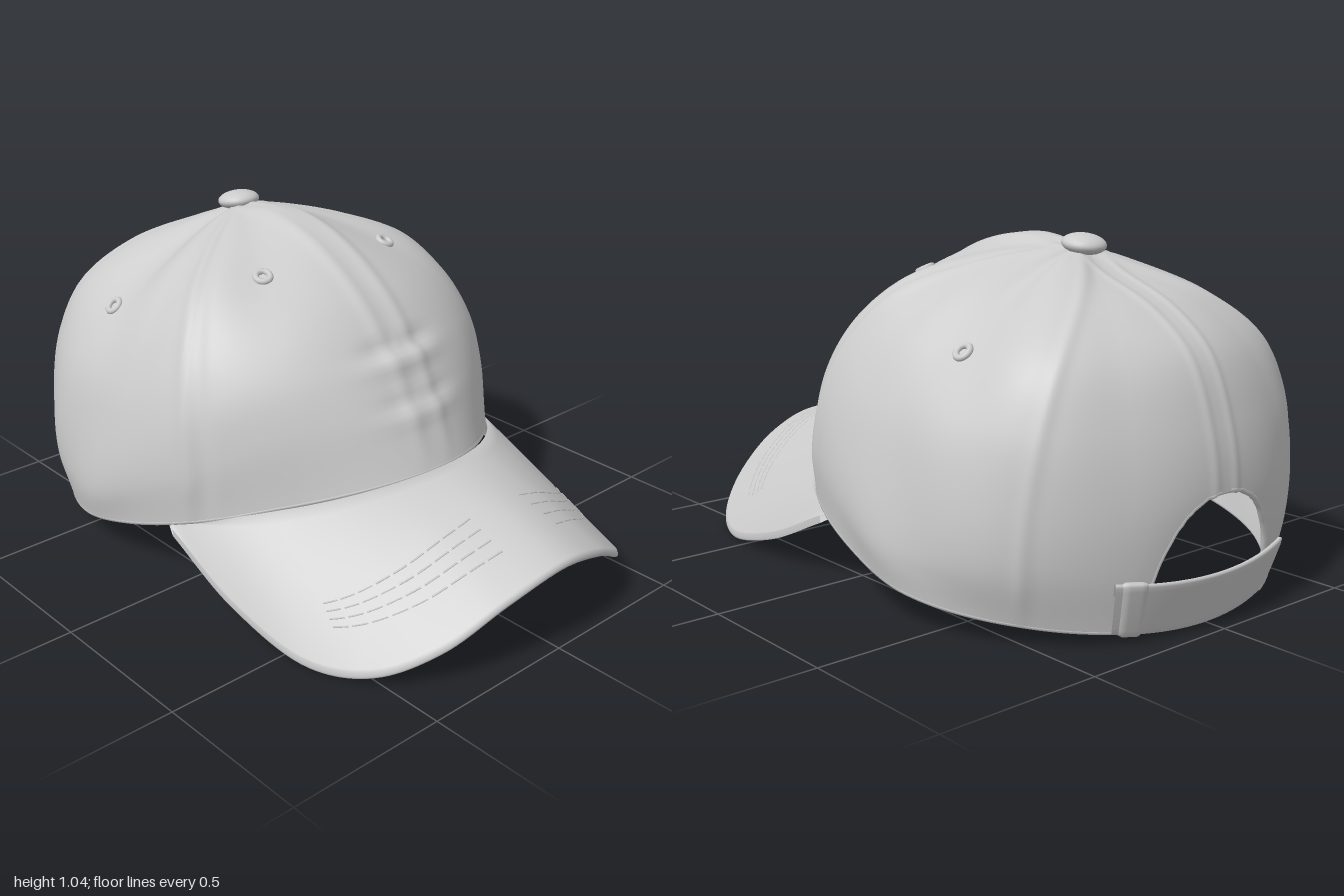
import * as THREE from 'three';

const APEX_Z = -0.42;
const material = new THREE.MeshStandardMaterial({ color: 0xcccccc, side: THREE.DoubleSide });
const V = (x, y, z) => new THREE.Vector3(x, y, z);
const gauss = (d, w) => Math.exp(-(d * d) / (w * w));

// Crown meridians: angle from the front, then [radius, height] from rim to apex
const ANGLES = [0, 30, 50, 70, 90, 125, 150, 180];
const MERIDIANS = [
  [[.935, .40], [.845, .58], [.75, .72], [.62, .86], [.42, .98], [.22, 1.03], [.08, 1.02], [0, 1]],
  [[.845, .33], [.81, .54], [.75, .69], [.635, .825], [.455, .93], [.25, .99], [.09, 1.005], [0, 1]],
  [[.785, .25], [.79, .42], [.755, .60], [.67, .76], [.525, .895], [.31, .965], [.10, 1.0], [0, 1]],
  [[.705, .16], [.72, .30], [.70, .45], [.65, .61], [.545, .775], [.36, .905], [.11, .985], [0, 1]],
  [[.665, .10], [.685, .22], [.66, .42], [.60, .60], [.485, .75], [.31, .875], [.11, .975], [0, 1]],
  [[.59, .05], [.635, .22], [.64, .40], [.61, .58], [.53, .745], [.36, .875], [.13, .965], [0, 1]],
  [[.56, .03], [.59, .20], [.595, .38], [.56, .57], [.48, .74], [.34, .86], [.13, .945], [0, 1]],
  [[.53, .01], [.555, .20], [.57, .40], [.54, .57], [.46, .75], [.32, .86], [.12, .94], [0, 1]],
];

// Smooth interpolation over the key angles, flat at the front and back centre
function blend(value, a) {
  const n = ANGLES.length;
  let i = 0;
  while (i < n - 2 && a > ANGLES[i + 1]) i++;
  const slope = (k) => (k === 0 || k === n - 1) ? 0
    : (value(k + 1) - value(k - 1)) / (ANGLES[k + 1] - ANGLES[k - 1]);
  const h = ANGLES[i + 1] - ANGLES[i], u = (a - ANGLES[i]) / h, u2 = u * u, u3 = u2 * u;
  return (2 * u3 - 3 * u2 + 1) * value(i) + (u3 - 2 * u2 + u) * h * slope(i)
    + (3 * u2 - 2 * u3) * value(i + 1) + (u3 - u2) * h * slope(i + 1);
}

// Returns t -> point on the crown at one angle (degrees), pushed out by an offset
function meridian(angle) {
  const a = Math.abs(angle), rad = THREE.MathUtils.degToRad(angle);
  const curve = new THREE.CatmullRomCurve3(MERIDIANS[0].map((_, j) =>
    V(blend((k) => MERIDIANS[k][j][0], a), blend((k) => MERIDIANS[k][j][1], a), 0)));
  return (t, offset = 0) => {
    const p = curve.getPoint(t), d = curve.getTangent(t);
    const arc = (s) => THREE.MathUtils.degToRad(a - s) * p.x;
    const fade = Math.min(1, (1 - t) * 8) * Math.min(1, t * 10);
    // seams between the panels
    let bump = 0.008 * gauss(arc(50 + 8 * t), 0.02) - 0.005 * gauss(arc(46 + 8 * t), 0.02);
    bump += 0.006 * gauss(arc(122 + 24 * t * t), 0.022) + 0.004 * gauss(arc(180) + 0.04, 0.015);
    bump += 0.006 * gauss(arc(0) - 0.05, 0.025);
    // short creases on the front panels
    bump += 0.016 * gauss(arc(0), 0.14) * (gauss(p.y - 0.69, 0.025) + 0.6 * gauss(p.y - 0.55, 0.025));
    bump -= 0.012 * gauss(arc(0) - 0.07, 0.07) * (gauss(p.y - 0.73, 0.02) + 0.6 * gauss(p.y - 0.59, 0.02));
    // soft slack in the side panels
    bump += 0.005 * Math.sin(a * 0.16 + p.y * 9) * gauss(a - 88, 25);
    const r = Math.max(0, p.x + d.y * (bump * fade + offset)), y = p.y - d.x * (bump * fade + offset);
    return V(r * Math.sin(rad), y, APEX_Z + r * Math.cos(rad));
  };
}

// Lowest t kept at an angle: the rim, or the arch above the strap at the back
function startOf(angle, m) {
  if (Math.abs(angle) < 140) return 0;
  for (let t = 0; t < 0.5; t += 0.003) {
    const p = m(t), u = Math.abs(p.x) / 0.26;
    if (u >= 1 || p.y > 0.385 * Math.pow(1 - Math.pow(u, 2.4), 0.5)) return t;
  }
  return 0.5;
}

// Surface through columns of points, optionally closed along or across
function skin(columns, closedU = false, closedV = false) {
  const nu = columns.length, nv = columns[0].length, index = [];
  for (let i = 0; i < nu - (closedU ? 0 : 1); i++) {
    for (let j = 0; j < nv - (closedV ? 0 : 1); j++) {
      const i2 = (i + 1) % nu, j2 = (j + 1) % nv;
      const a = i * nv + j, b = i2 * nv + j, c = i2 * nv + j2, d = i * nv + j2;
      index.push(a, b, c, a, c, d);
    }
  }
  const g = new THREE.BufferGeometry().setFromPoints(columns.flat());
  g.setIndex(index);
  g.computeVertexNormals();
  return g;
}

const range = (n, f) => Array.from({ length: n }, (_, i) => f(i));

// Visor: outer edge runs from the centre to one side, mirrored for the other
const EDGE = new THREE.CatmullRomCurve3([
  V(-.2, .217, .972), V(0, .27, 1), V(.2, .217, .972), V(.38, .112, .905), V(.517, .03, .78),
  V(.6, .008, .60), V(.635, .078, .30), V(.637, .2, .02),
]);
function visorPoint(s, v) {
  const inner = meridian(57 * s)(0, -0.012);
  const outer = EDGE.getPoint((1 + 6 * Math.abs(s)) / 7);
  if (s < 0) outer.x *= -1;
  const p = inner.lerp(outer, v);
  p.y += 0.016 * Math.sin(Math.PI * v) * (1 - s * s);
  return p;
}

export function createModel() {
  const model = new THREE.Group();
  const add = (name, geometry, parent = model) => {
    const mesh = new THREE.Mesh(geometry, material);
    mesh.name = name;
    parent.add(mesh);
    return mesh;
  };

  // Crown with the arched opening, and a lining just inside it
  const N = 360, ROWS = 64, rim = [], shell = [], lining = [];
  for (let i = 0; i < N; i++) {
    const angle = -180 + i * 360 / N, m = meridian(angle), t0 = startOf(angle, m);
    const column = (rows, offset) => range(rows + 1, (k) => m(Math.min(0.999, t0 + (1 - t0) * k / rows), offset));
    shell.push(column(ROWS, 0));
    if (i % 2 === 0) lining.push(column(ROWS / 2, -0.016));
    rim.push(m(t0, -0.008));
  }
  add('crown', skin(shell, true));
  add('lining', skin(lining, true));
  add('rimPiping', new THREE.TubeGeometry(new THREE.CatmullRomCurve3(rim, true), 500, 0.009, 6, true));

  // Strap across the back, with a rounded flat section
  const strapSection = (angle, grow) => {
    const rad = THREE.MathUtils.degToRad(angle), e = Math.abs(angle - 180) / 30;
    return range(16, (k) => {
      const q = k / 16 * Math.PI * 2, cx = Math.cos(q), cy = Math.sin(q);
      const h = Math.sign(cy) * Math.pow(Math.abs(cy), 0.35), w = Math.sign(cx) * Math.pow(Math.abs(cx), 0.5);
      const r = 0.541 + 0.033 * e * e + 0.027 * h + (0.010 + grow) * w;
      return V(r * Math.sin(rad), 0.082 + 0.018 * e * e + (0.08 + grow * 0.6) * h, APEX_Z + r * Math.cos(rad));
    });
  };
  const strap = new THREE.Group();
  strap.name = 'backStrap';
  model.add(strap);
  add('strapBand', skin(range(45, (i) => strapSection(145 + i * 1.5, 0)), false, true), strap);
  add('strapLoop', skin(range(8, (i) => strapSection(147 + i, i % 7 ? 0.008 : 0.001)), false, true), strap);

  // Visor as a thin closed sheet
  const M = 24;
  add('visor', skin(range(121, (i) => {
    const s = -1 + i / 60;
    return range(2 * M, (k) => {
      const top = k < M, w = (top ? k + 0.5 : 2 * M - k - 0.5) / M;
      const v = 1 - w * w, p = visorPoint(s, v);
      p.y += (top ? 1 : -1) * 0.012 * Math.min(1, Math.sqrt((1 - v) * 90));
      return p;
    });
  }), false, true));

  // Rows of short stitches on each half of the visor, drawing together outward
  const stitching = new THREE.Group();
  stitching.name = 'visorStitching';
  model.add(stitching);
  for (const side of [-1, 1]) {
    for (let row = 0; row < 4; row++) {
      for (let k = 0; k < 9; k++) {
        const path = range(4, (j) => {
          const s = 0.1 + k * 0.052 + j * 0.014;
          const p = visorPoint(side * s, 0.75 - row * (0.1 - 0.1 * s));
          p.y += 0.011;
          return p;
        });
        add('stitch', new THREE.TubeGeometry(new THREE.CatmullRomCurve3(path), 5, 0.003, 5), stitching);
      }
    }
  }

  // Top button
  const button = add('topButton', new THREE.SphereGeometry(0.067, 32, 16));
  button.scale.y = 0.45;
  button.position.set(0, 1.01, -0.43);
  button.rotation.x = -0.15;

  // Eyelets, turned to the surface of the panels
  for (const [angle, t] of [[31, 0.55], [95, 0.575]]) {
    for (const side of [-1, 1]) {
      const m = meridian(side * angle), p = m(t), normal = m(t, 0.1).sub(p).normalize();
      const eyelet = new THREE.Group();
      eyelet.name = 'eyelet';
      eyelet.position.copy(p).addScaledVector(normal, 0.002);
      eyelet.quaternion.setFromUnitVectors(V(0, 0, 1), normal);
      add('eyeletRing', new THREE.TorusGeometry(0.022, 0.010, 10, 24), eyelet);
      model.add(eyelet);
    }
  }
  return model;
}
